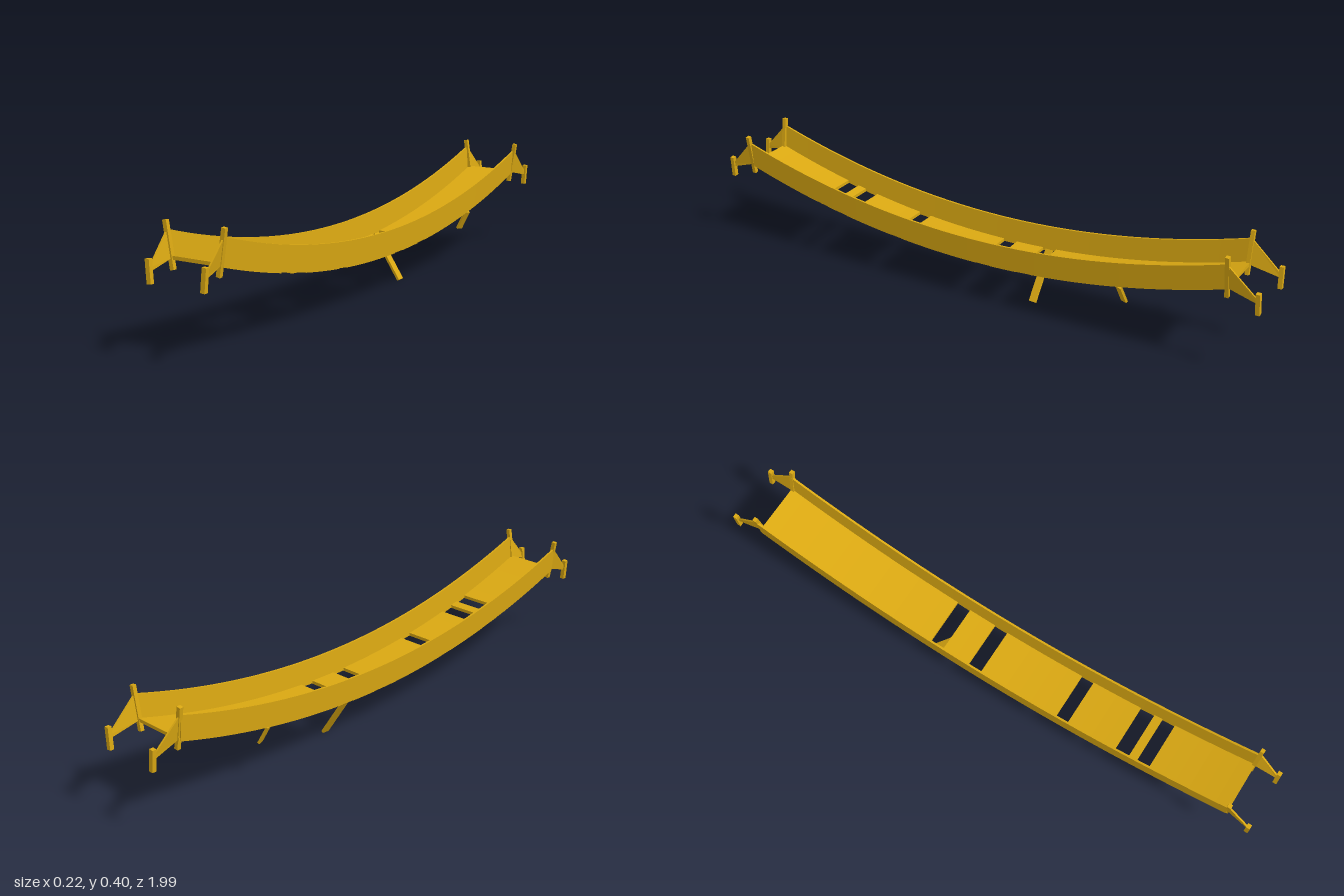
import * as THREE from 'three';

const wood = new THREE.MeshStandardMaterial({ color: 0xdaa812 });
wood.name = 'golden wood';

// sagging line of the bridge underside
const sag = (z) => 0.142 + 0.143 * ((z - 0.01) / 0.895) ** 2;
const OFFSET = -0.003;

// sweeps a four-cornered section (counter-clockwise seen from +z) along z
function sweep(name, section, z0, z1, steps) {
  const pos = [];
  const quad = (a, b, c, d) => [a, b, c, a, c, d].forEach((p) => pos.push(...p));
  const rings = [];
  for (let i = 0; i <= steps; i++) {
    const z = z0 + (z1 - z0) * i / steps;
    rings.push(section(z).map(([x, y]) => [x, y, z]));
  }
  for (let i = 0; i < steps; i++) {
    for (let k = 0; k < 4; k++) {
      const n = (k + 1) % 4;
      quad(rings[i][k], rings[i][n], rings[i + 1][n], rings[i + 1][k]);
    }
  }
  const [a, b, c, d] = rings[0];
  quad(d, c, b, a);
  quad(...rings[steps]);
  const geo = new THREE.BufferGeometry();
  geo.setAttribute('position', new THREE.Float32BufferAttribute(pos, 3));
  geo.computeVertexNormals();
  const mesh = new THREE.Mesh(geo, wood);
  mesh.name = name;
  return mesh;
}

// leaning panel section between a low and a high point
const panel = (xLow, yLow, xHigh, yHigh, t) => [
  [xLow - t / 2, yLow], [xLow + t / 2, yLow], [xHigh + t / 2, yHigh], [xHigh - t / 2, yHigh],
];

// square beam between two points
function beam(name, from, to, width, depth) {
  const a = new THREE.Vector3(...from);
  const b = new THREE.Vector3(...to);
  const mesh = new THREE.Mesh(new THREE.BoxGeometry(width, a.distanceTo(b), depth), wood);
  mesh.position.copy(a).add(b).multiplyScalar(0.5);
  mesh.quaternion.setFromUnitVectors(new THREE.Vector3(0, 1, 0), b.sub(a).normalize());
  mesh.name = name;
  return mesh;
}

export function createModel() {
  const bridge = new THREE.Group();
  bridge.name = 'hangingBridge';

  // floor runs with missing planks between them
  const runs = [[-0.89, -0.22], [-0.17, -0.07], [-0.02, 0.275], [0.32, 0.5], [0.55, 0.58], [0.625, 0.908]];
  for (const [z0, z1] of runs) {
    const floor = (z) => {
      const y = sag(z);
      return [[OFFSET - 0.094, y - 0.002], [OFFSET + 0.094, y - 0.002],
        [OFFSET + 0.094, y + 0.009], [OFFSET - 0.094, y + 0.009]];
    };
    bridge.add(sweep('floorPlanks', floor, z0, z1, Math.max(1, Math.round((z1 - z0) / 0.05))));
  }

  for (const s of [-1, 1]) {
    // side wall following the sag
    const wall = (z) => panel(OFFSET + s * 0.092, sag(z), OFFSET + s * 0.099, sag(z) + 0.085, 0.007);
    bridge.add(sweep('sideWall', wall, -0.885, 0.905, 36));

    for (const [post, anchor] of [[0.905, 0.988], [-0.885, -0.988]]) {
      // tall leaning post, short anchor post and the tapering panel between
      bridge.add(beam('endPost', [s * 0.081, 0.254, post], [s * 0.104, 0.396, post], 0.014, 0.013));
      bridge.add(beam('anchorPost', [s * 0.094, 0.229, anchor + Math.sign(anchor) * 0.001],
        [s * 0.1, 0.301, anchor - Math.sign(anchor) * 0.001], 0.015, 0.014));
      const taper = (z) => {
        const t = (z - post) / (anchor - post);
        const mix = THREE.MathUtils.lerp;
        return panel(s * mix(0.087, 0.096, t), mix(0.288, 0.264, t),
          s * mix(0.1, 0.097, t), mix(0.369, 0.276, t), 0.006);
      };
      bridge.add(sweep('endPanel', taper, Math.min(post, anchor), Math.max(post, anchor), 1));
    }

    // halves of a snapped plank under the floor
    bridge.add(beam('snappedPlank', [s * 0.088, 0.193, -0.535], [s * 0.053, 0.128, -0.541], 0.009, 0.022));
  }

  // loose plank hanging by one end
  bridge.add(beam('hangingPlank', [-0.09, 0.155, -0.195], [0.012, 0.004, -0.19], 0.009, 0.025));
  return bridge;
}
